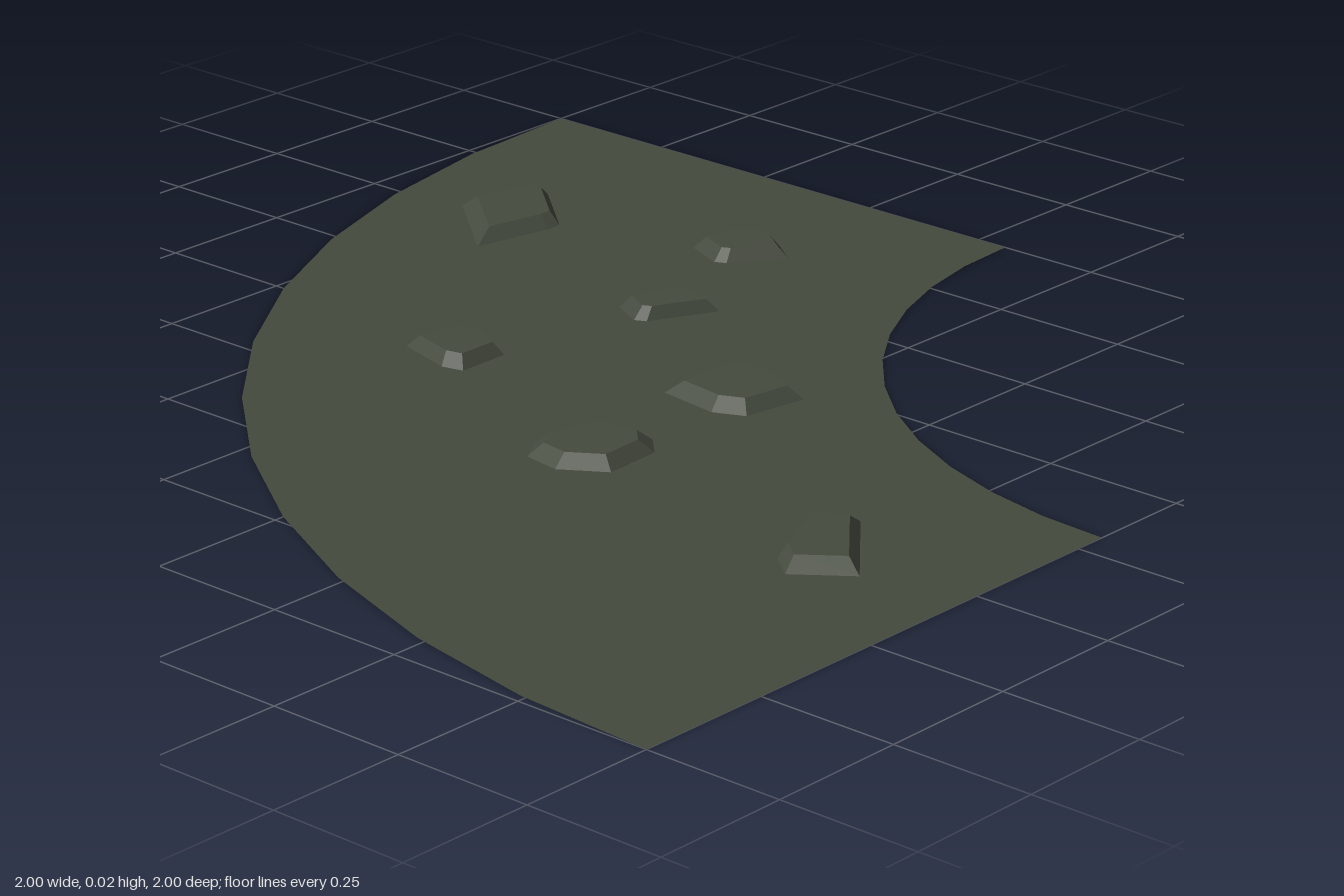
import * as THREE from 'three';

const STONE_HEIGHT = 0.022;

// Footprints of the stones as [x, z], clockwise seen from above
const footprints = [
  [[0.38, -0.63], [0.52, -0.80], [0.67, -0.76], [0.67, -0.73], [0.56, -0.60], [0.53, -0.60]],
  [[-0.09, -0.27], [-0.06, -0.38], [0.04, -0.36], [0.06, -0.31], [0.02, -0.23], [-0.08, -0.23]],
  [[0.29, -0.18], [0.32, -0.24], [0.43, -0.195], [0.44, -0.17], [0.42, -0.10], [0.30, -0.16]],
  [[0.60, -0.27], [0.63, -0.345], [0.71, -0.335], [0.75, -0.275], [0.74, -0.24], [0.70, -0.185], [0.61, -0.25]],
  [[-0.30, 0.18], [-0.29, 0.11], [-0.24, 0.08], [-0.12, 0.11], [-0.10, 0.21], [-0.14, 0.25], [-0.25, 0.255]],
  [[0.055, 0.20], [0.07, 0.085], [0.24, 0.09], [0.24, 0.18], [0.20, 0.275], [0.08, 0.255]],
  [[-0.38, 0.73], [-0.34, 0.68], [-0.18, 0.61], [-0.14, 0.68], [-0.31, 0.82]],
];

// Bevelled slab: footprint on the ground, shrunken copy as the flat top
function stoneGeometry(outline, topScale = 0.74) {
  const n = outline.length;
  const cx = outline.reduce((s, p) => s + p[0], 0) / n;
  const cz = outline.reduce((s, p) => s + p[1], 0) / n;
  const base = outline.map(([x, z]) => [x, 0, z]);
  const top = outline.map(([x, z]) => [cx + (x - cx) * topScale, STONE_HEIGHT, cz + (z - cz) * topScale]);
  const centre = [cx, STONE_HEIGHT, cz];
  const positions = [];
  for (let i = 0; i < n; i++) {
    const j = (i + 1) % n;
    positions.push(...centre, ...top[j], ...top[i]);
    positions.push(...base[i], ...top[i], ...top[j]);
    positions.push(...base[i], ...top[j], ...base[j]);
  }
  const geometry = new THREE.BufferGeometry();
  geometry.setAttribute('position', new THREE.Float32BufferAttribute(positions, 3));
  geometry.computeVertexNormals();
  return geometry;
}

export function createModel() {
  const group = new THREE.Group();
  group.name = 'curvedPath';

  const pathMaterial = new THREE.MeshStandardMaterial({ color: 0x444a3d, side: THREE.DoubleSide });
  pathMaterial.name = 'mossy grey';
  const stoneMaterial = new THREE.MeshStandardMaterial({ color: 0x454b3f, flatShading: true });
  stoneMaterial.name = 'stone grey';

  // Flat quarter-ring road surface
  const ring = new THREE.RingGeometry(0.94, 2, 12, 1, Math.PI / 2, Math.PI / 2);
  ring.rotateX(-Math.PI / 2);
  ring.translate(1, 0, 1);
  const road = new THREE.Mesh(ring, pathMaterial);
  road.name = 'roadSurface';
  group.add(road);

  // Scattered paving stones
  const stones = new THREE.Group();
  stones.name = 'pavingStones';
  footprints.forEach((outline, i) => {
    const stone = new THREE.Mesh(stoneGeometry(outline), stoneMaterial);
    stone.name = `pavingStone${i + 1}`;
    stones.add(stone);
  });
  group.add(stones);

  return group;
}
